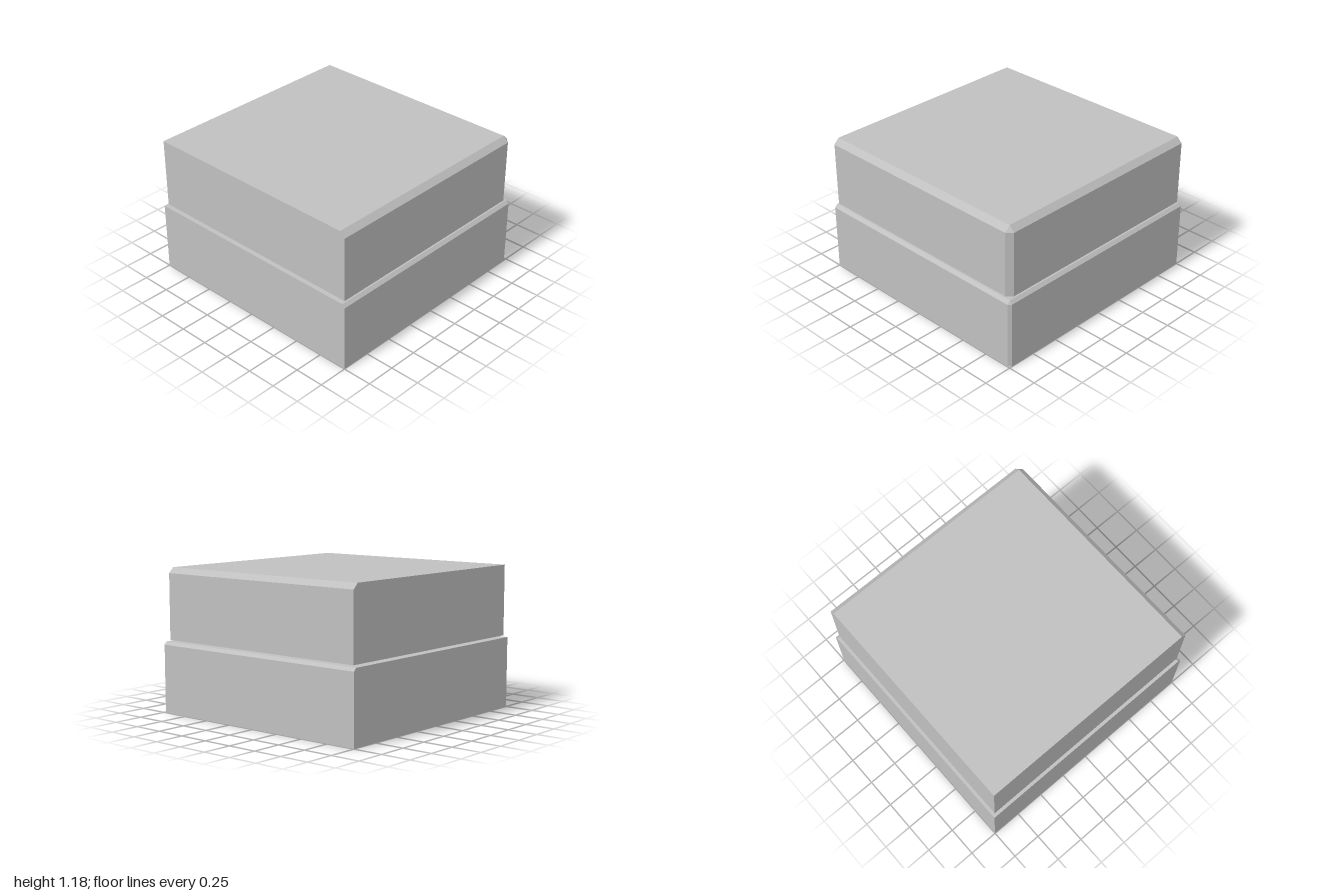
import * as THREE from 'three';

// Open-bottomed shell, bevelled along the top left, top back and back left edges
function bevelledShell(half, height, bevel) {
  const w = half, i = half - bevel;
  const outline = [[-w, w], [w, w], [w, -i], [i, -w], [-w, -w]];
  const topOutline = [[-w, w], [i, w], [i, -i], [i, -i], [-w, -i]];
  const ring = (points, y) => points.map(([x, z]) => new THREE.Vector3(x, y, z));
  const rings = [ring(outline, 0), ring(outline, height - bevel), ring(topOutline, height)];

  const corners = [];
  const triangle = (a, b, c) => {
    if (!a.equals(b) && !b.equals(c) && !c.equals(a)) corners.push(a, b, c);
  };
  const quad = (a, b, c, d) => {
    triangle(a, b, c);
    triangle(a, c, d);
  };

  // Walls, then the bevel band
  for (let r = 0; r < 2; r++) {
    for (let k = 0; k < 5; k++) {
      const n = (k + 1) % 5;
      quad(rings[r][k], rings[r][n], rings[r + 1][n], rings[r + 1][k]);
    }
  }
  // Flat top
  const top = rings[2];
  quad(top[0], top[1], top[2], top[4]);

  const geometry = new THREE.BufferGeometry().setFromPoints(corners);
  geometry.computeVertexNormals();
  return geometry;
}

export function createModel() {
  const group = new THREE.Group();
  group.name = 'stackedBlocks';
  const grey = new THREE.MeshStandardMaterial({ color: 0xc0c0c0, side: THREE.DoubleSide });
  grey.name = 'light grey';

  const addBlock = (name, half, bevel, y) => {
    const mesh = new THREE.Mesh(bevelledShell(half, 0.585, bevel), grey);
    mesh.name = name;
    mesh.position.y = y;
    group.add(mesh);
  };
  // Two blocks with a narrow gap between them
  addBlock('lowerBlock', 1, 0.025, 0);
  addBlock('upperBlock', 0.976, 0.045, 0.6);
  return group;
}
